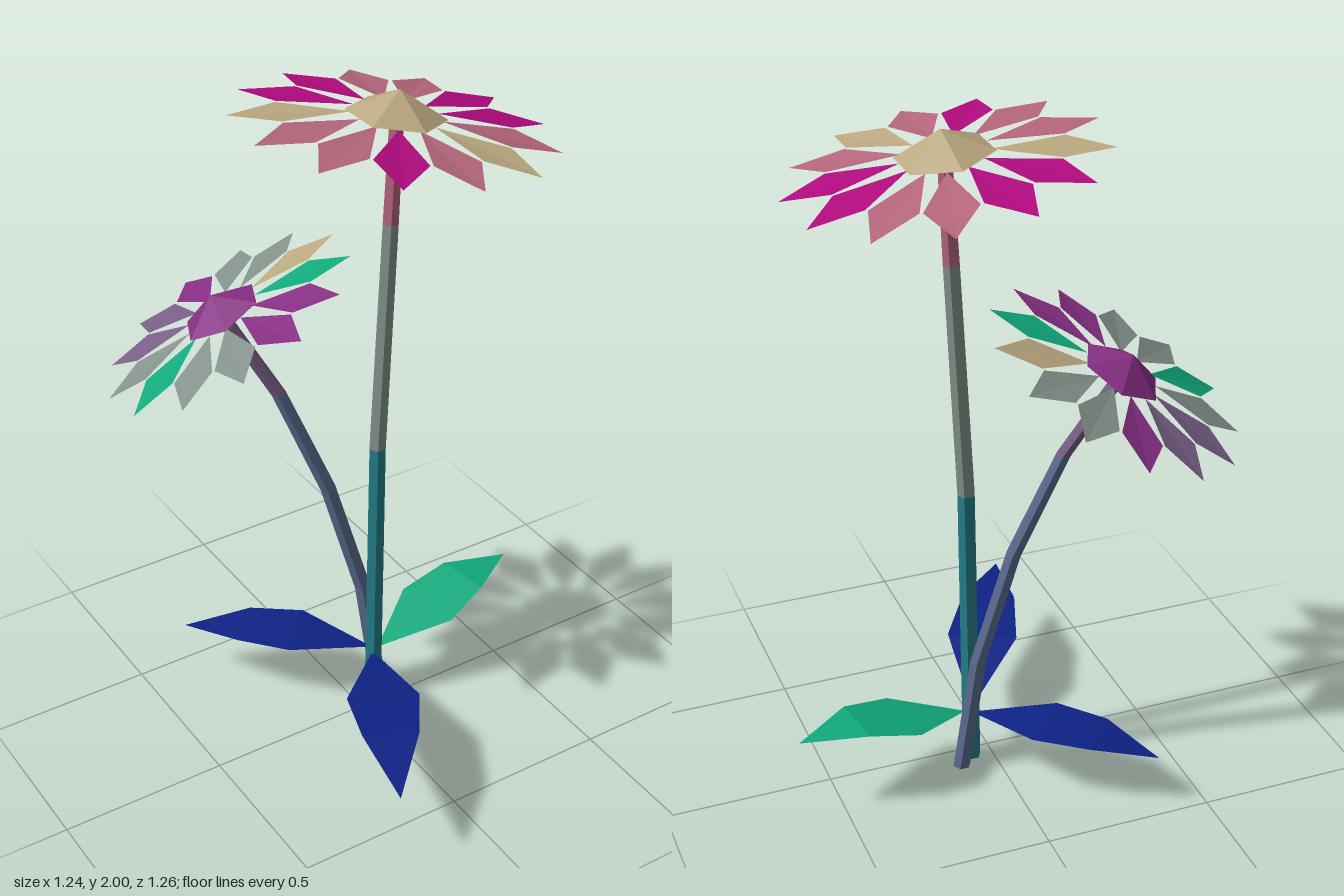
import * as THREE from 'three';

const paint = (name, color) =>
  new THREE.MeshStandardMaterial({ name, color, flatShading: true, side: THREE.DoubleSide });

const C = {
  tan: paint('tan', 0xbba880),
  magenta: paint('magenta', 0xb00a7e),
  pink: paint('pink', 0xb5667c),
  purple: paint('purple', 0x862e83),
  mauve: paint('mauve', 0x775e85),
  gray: paint('gray', 0x84918b),
  green: paint('green', 0x10a87c),
  blue: paint('blue', 0x0d2285),
  teal: paint('teal', 0x24808a),
  slate: paint('slate', 0x5c6b90),
};

// Facets from a list of corner points and a list of triangles
function facets(points, triangles) {
  const g = new THREE.BufferGeometry();
  g.setAttribute('position', new THREE.Float32BufferAttribute(points.flat(), 3));
  g.setIndex(triangles.flat());
  const flat = g.toNonIndexed();
  flat.computeVertexNormals();
  return flat;
}

function addMesh(parent, name, geometry, material) {
  const mesh = new THREE.Mesh(geometry, material);
  mesh.name = name;
  parent.add(mesh);
  return mesh;
}

// Six-sided stem through [x, y, z, radius] stations, closed at both ends
function stemPiece(stations) {
  const n = 6, points = [], tris = [];
  for (const [x, y, z, r] of stations) {
    for (let k = 0; k < n; k++) {
      const a = (k / n) * Math.PI * 2;
      points.push([x + r * Math.cos(a), y, z + r * Math.sin(a)]);
    }
  }
  for (let i = 0; i < stations.length - 1; i++) {
    for (let k = 0; k < n; k++) {
      const a = i * n + k, b = i * n + ((k + 1) % n);
      tris.push([a, a + n, b], [b, a + n, b + n]);
    }
  }
  const top = (stations.length - 1) * n;
  for (let k = 1; k < n - 1; k++) {
    tris.push([0, k, k + 1], [top, top + k + 1, top + k]);
  }
  return facets(points, tris);
}

// Pointed leaf: root and tip as [x, y, z]; two cross-sections as [t, y, halfWidth]
function leaf(root, sections, tip) {
  const dx = tip[0] - root[0], dz = tip[2] - root[2], len = Math.hypot(dx, dz);
  const px = -dz / len, pz = dx / len;
  const points = [root];
  for (const [t, y, w] of sections) {
    const x = root[0] + dx * t, z = root[2] + dz * t;
    points.push([x + px * w, y, z + pz * w], [x - px * w, y, z - pz * w]);
  }
  points.push(tip);
  return facets(points, [[0, 1, 2], [1, 3, 2], [2, 3, 4], [3, 5, 4]]);
}

// Drooping kite-shaped petal pointing along +x
const petalShape = facets(
  [[0.12, 0, 0], [0.31, -0.015, 0.072], [0.445, -0.035, 0], [0.31, -0.015, -0.072]],
  [[0, 1, 2], [0, 2, 3]],
);

// Flower head: six-sided cone ringed by evenly spaced petals
function flowerHead(name, discMaterial, discTurn, petals, startDeg) {
  const head = new THREE.Group();
  head.name = name;
  const cone = new THREE.ConeGeometry(0.138, 0.07, 6).translate(0, 0.035, 0);
  addMesh(head, 'flowerDisc', cone, discMaterial).rotation.y = THREE.MathUtils.degToRad(discTurn);
  petals.forEach((color, i) => {
    const deg = startDeg + (i * 360) / petals.length;
    addMesh(head, 'petal', petalShape, C[color]).rotation.y = -THREE.MathUtils.degToRad(deg);
  });
  return head;
}

function place(head, position, up, scale) {
  head.position.set(...position);
  head.quaternion.setFromUnitVectors(
    new THREE.Vector3(0, 1, 0), new THREE.Vector3(...up).normalize());
  head.scale.setScalar(scale);
}

export function createModel() {
  const model = new THREE.Group();
  model.name = 'flowers';

  // Tall stem in three coloured lengths
  const tall = [
    [0.063, 0, -0.033, 0.028], [0.076, 0.91, -0.033, 0.026],
    [0.114, 1.62, -0.033, 0.024], [0.13, 1.93, -0.033, 0.021],
  ];
  ['teal', 'gray', 'pink'].forEach((c, i) =>
    addMesh(model, 'tallStem', stemPiece(tall.slice(i, i + 2)), C[c]));

  // Short stem, bending back and to the right
  const bent = [
    [0.108, 0, -0.07, 0.027], [0.064, 0.38, -0.095, 0.026], [-0.03, 0.75, -0.135, 0.025],
    [-0.15, 1.08, -0.2, 0.023], [-0.285, 1.345, -0.28, 0.022],
  ];
  addMesh(model, 'bentStemLower', stemPiece(bent.slice(0, 4)), C.slate);
  addMesh(model, 'bentStemUpper', stemPiece(bent.slice(3)), C.mauve);

  // Tall flower
  const tallHead = flowerHead('tallFlower', C.tan, 0, [
    'magenta', 'pink', 'tan', 'pink', 'magenta', 'pink', 'pink',
    'tan', 'magenta', 'magenta', 'pink', 'pink', 'magenta',
  ], 10.2);
  place(tallHead, [0.13, 1.93, -0.035], [0.155, 1, 0], 1);
  model.add(tallHead);

  // Short flower
  const shortHead = flowerHead('shortFlower', C.purple, 37, [
    'purple', 'gray', 'gray', 'tan', 'green', 'purple', 'purple',
    'gray', 'gray', 'green', 'gray', 'mauve', 'mauve',
  ], -82);
  place(shortHead, [-0.28, 1.345, -0.28], [-0.47, 1, -0.29], 0.88);
  model.add(shortHead);

  // Three leaves around the foot
  addMesh(model, 'frontLeaf', leaf([0.06, 0.17, -0.03],
    [[0.4, 0.235, 0.107], [0.67, 0.26, 0.082]], [-0.265, 0.235, 0.615]), C.blue);
  addMesh(model, 'backLeaf', leaf([0.07, 0.17, -0.05],
    [[0.4, 0.2, 0.1], [0.68, 0.2, 0.082]], [-0.36, 0.167, -0.455]), C.blue);
  addMesh(model, 'leftLeaf', leaf([0.085, 0.17, -0.04],
    [[0.38, 0.225, 0.107], [0.66, 0.263, 0.085]], [0.624, 0.253, -0.13]), C.green);

  return model;
}
